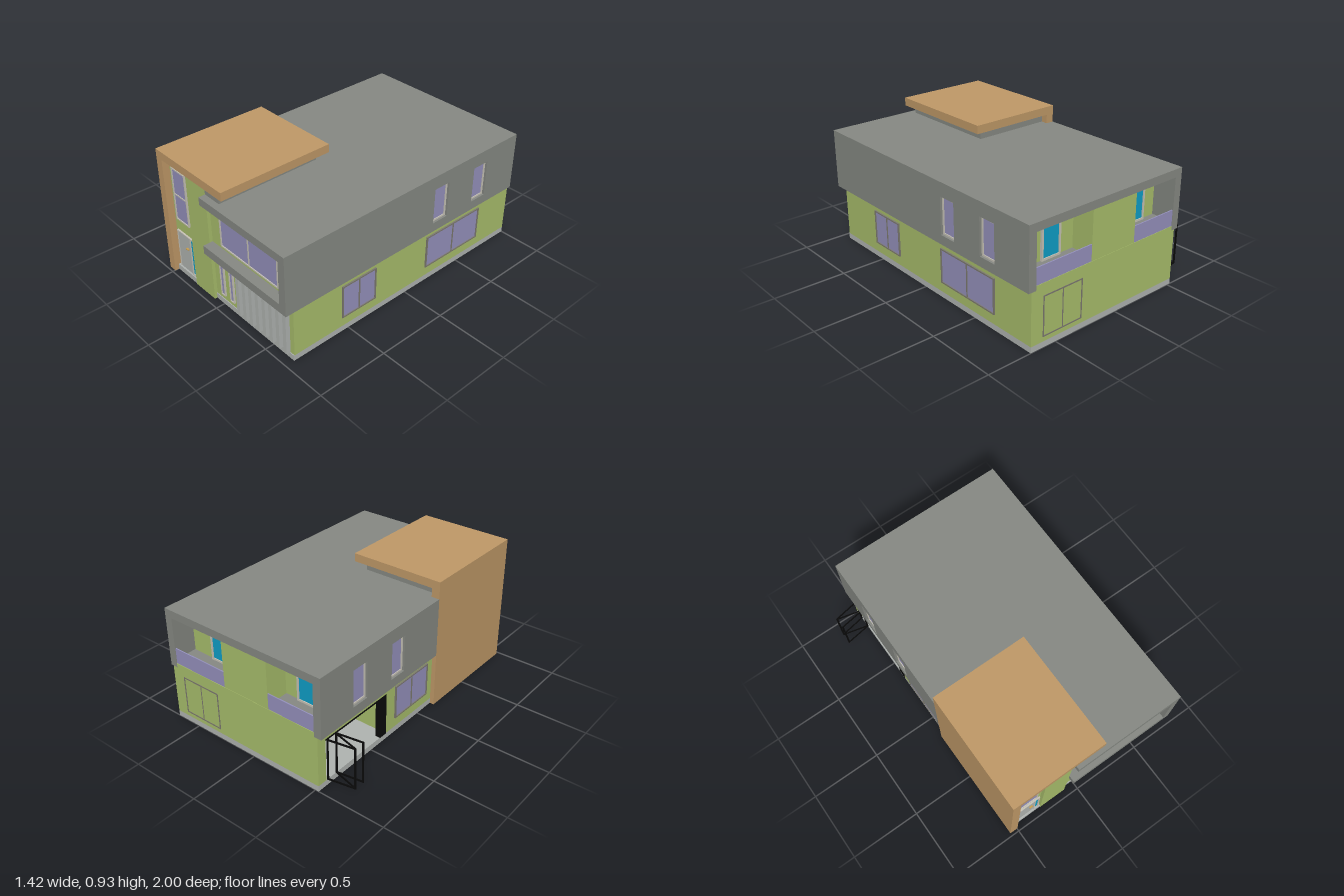
import * as THREE from 'three';

const mat = (name, color) => {
  const m = new THREE.MeshStandardMaterial({ color });
  m.name = name;
  return m;
};

export function createModel() {
  const green = mat('green render', 0xa9bf6c);
  const grey = mat('grey cladding', 0x878a84);
  const pale = mat('pale concrete', 0xb1b5b2);
  const wood = mat('tan timber', 0xc19a68);
  const glass = mat('lavender glass', 0x9692be);
  const cream = mat('cream frame', 0xc8c4b8);
  const darkFrame = mat('dark frame', 0x7d7a70);
  const cyan = mat('blue glass', 0x0fa0c8);
  const black = mat('black metal', 0x0a0a0a);
  const brass = mat('brass', 0xc9a050);

  const house = new THREE.Group();
  house.name = 'house';

  const add = (parent, name, geometry, material) => {
    const m = new THREE.Mesh(geometry, material);
    m.name = name;
    parent.add(m);
    return m;
  };
  // Box given by its limits on each axis
  const box = (name, material, x0, x1, y0, y1, z0, z1, parent = house) => {
    const m = add(parent, name, new THREE.BoxGeometry(x1 - x0, y1 - y0, z1 - z0), material);
    m.position.set((x0 + x1) / 2, (y0 + y1) / 2, (z0 + z1) / 2);
    return m;
  };
  const polygon = (points) => new THREE.Shape(points.map(([x, y]) => new THREE.Vector2(x, y)));
  const extrude = (shape, depth) => new THREE.ExtrudeGeometry(shape, { depth, bevelEnabled: false });

  // Rectangular frame made of four bars, centred on its group and facing +z
  const frame = (parent, material, w, h, t, depth) => {
    for (const s of [-1, 1]) {
      const a = s * (w - t) / 2, b = s * (h - t) / 2;
      box('frameUpright', material, a - t / 2, a + t / 2, -h / 2, h / 2, -depth / 2, depth / 2, parent);
      box('frameRail', material, -w / 2 + t, w / 2 - t, b - t / 2, b + t / 2, -depth / 2, depth / 2, parent);
    }
  };
  // Window with evenly split panes; angle turns it from +z
  const makeWindow = (name, x, y0, y1, z, w, angle, opts = {}) => {
    const { cols = 1, rows = 1, frameMat = cream, pane = glass, t = 0.009 } = opts;
    const g = new THREE.Group();
    const h = y1 - y0;
    g.name = name;
    g.position.set(x, (y0 + y1) / 2, z);
    g.rotation.y = angle;
    house.add(g);
    frame(g, frameMat, w, h, t, 0.02);
    box('pane', pane, -w / 2 + t, w / 2 - t, -h / 2 + t, h / 2 - t, -0.004, 0.004, g);
    for (let i = 1; i < cols; i++) {
      const c = -w / 2 + w * i / cols;
      box('mullion', frameMat, c - t / 2, c + t / 2, -h / 2 + t, h / 2 - t, -0.008, 0.008, g);
    }
    for (let i = 1; i < rows; i++) {
      const c = -h / 2 + h * i / rows;
      box('transom', frameMat, -w / 2 + t, w / 2 - t, c - t / 2, c + t / 2, -0.008, 0.008, g);
    }
    return g;
  };

  // Ground floor, hollowed on the left for the terrace room
  box('plinth', pale, -0.525, 0.69, 0, 0.04, -1, 0.935);
  box('groundFloorRight', green, -0.05, 0.69, 0.04, 0.39, -1, 0.93);
  box('groundFloorLeft', green, -0.525, -0.05, 0.04, 0.39, -0.35, 0.93);
  box('groundFloorCorner', green, -0.525, -0.05, 0.04, 0.39, -1, -0.93);
  box('terraceLintel', green, -0.525, -0.05, 0.34, 0.39, -0.93, -0.35);
  box('terraceRoomWall', pale, -0.055, -0.049, 0.04, 0.34, -0.93, -0.35);

  // Upper floor: side walls with window openings
  const sideWindows = [[-0.71, -0.58], [-0.34, -0.21]];
  const sideWall = (name, outerX, zFront) => {
    const shape = polygon([[-1, 0.39], [zFront, 0.39], [zFront, 0.75], [-1, 0.75]]);
    for (const [a, b] of sideWindows) {
      shape.holes.push(new THREE.Path([[a, 0.455], [a, 0.71], [b, 0.71], [b, 0.455]]
        .map(([x, y]) => new THREE.Vector2(x, y))));
    }
    const geometry = extrude(shape, 0.055);
    geometry.rotateY(-Math.PI / 2);
    add(house, name, geometry, grey).position.x = outerX;
  };
  sideWall('rightUpperWall', 0.71, 1);
  sideWall('leftUpperWall', -0.5, 0.15);
  for (const [a, b] of sideWindows) {
    makeWindow('rightUpperWindow', 0.685, 0.455, 0.71, (a + b) / 2, b - a, Math.PI / 2, { t: 0.012 });
    makeWindow('leftUpperWindow', -0.53, 0.455, 0.71, (a + b) / 2, b - a, -Math.PI / 2, { t: 0.012 });
  }

  // Roof outline drawn as x, -z
  const roof = extrude(polygon([
    [-0.555, 1], [-0.555, -0.15], [-0.497, -0.15], [-0.497, -0.9],
    [-0.08, -0.9], [-0.08, -1], [0.71, -1], [0.71, 1],
  ]), 0.055);
  roof.rotateX(-Math.PI / 2);
  add(house, 'mainRoof', roof, grey).position.y = 0.75;
  box('upperFloorSlab', grey, -0.5, 0.655, 0.39, 0.45, -0.98, 0.9);
  box('frontLedge', grey, -0.08, 0.655, 0.39, 0.45, 0.9, 1);
  box('upperRooms', green, -0.497, 0.652, 0.45, 0.75, -0.84, 0.93);

  // Rear balconies
  box('rearBand', green, -0.5, 0.655, 0.39, 0.42, -1, -0.98);
  box('rearCentreBlock', green, -0.145, 0.22, 0.42, 0.75, -0.998, -0.84);
  for (const [x0, x1, doorX] of [[0.22, 0.655, 0.405], [-0.5, -0.145, -0.32]]) {
    box('balconyGlass', glass, x0, x1, 0.42, 0.53, -0.997, -0.989);
    makeWindow('balconyDoor', doorX, 0.45, 0.69, -0.845, 0.15, Math.PI, { pane: cyan, t: 0.014 });
  }

  // Entrance tower
  box('towerWall', green, -0.497, -0.285, 0.39, 0.867, 0.88, 0.93);
  box('towerColumn', green, -0.285, -0.08, 0, 0.867, 0.88, 0.953);
  box('roofNeck', grey, -0.497, 0.06, 0.805, 0.867, 0.2, 0.88);
  box('roofNeckFront', grey, -0.08, 0.06, 0.805, 0.867, 0.88, 0.953);
  const canopy = extrude(polygon([
    [-0.555, 0], [-0.497, 0], [-0.497, 0.867], [0.125, 0.867], [0.125, 0.925], [-0.555, 0.925],
  ]), 0.83);
  add(house, 'timberWallAndCanopy', canopy, wood).position.z = 0.15;
  makeWindow('towerWindow', -0.395, 0.425, 0.815, 0.932, 0.145, 0, { rows: 2 });

  // Front door with sidelight
  box('doorStep', pale, -0.497, -0.285, 0, 0.04, 0.93, 0.95);
  box('frontDoor', pale, -0.472, -0.338, 0.03, 0.328, 0.925, 0.938);
  box('doorHead', cream, -0.478, -0.338, 0.328, 0.334, 0.925, 0.942);
  box('doorJamb', cream, -0.478, -0.472, 0.04, 0.328, 0.925, 0.942);
  box('doorHandle', brass, -0.38, -0.355, 0.23, 0.237, 0.938, 0.95);
  makeWindow('doorSidelight', -0.317, 0.04, 0.334, 0.932, 0.042, 0, { pane: cyan });

  // Front windows and slats
  makeWindow('frontUpperWindow', 0.3, 0.477, 0.71, 0.932, 0.55, 0, { cols: 2 });
  for (const x of [0.005, 0.099]) makeWindow('slimWindow', x, 0.077, 0.35, 0.932, 0.042, 0, { t: 0.007 });
  for (let i = 0; i < 8; i++) {
    const x = 0.189 + i * 0.0642;
    box('slat', pale, x - 0.015, x + 0.015, 0.04, 0.39, 0.928, 0.96);
  }

  // Ground floor side and rear windows
  const dark = { cols: 2, frameMat: darkFrame };
  makeWindow('rightSmallWindow', 0.69, 0.11, 0.35, 0.415, 0.28, Math.PI / 2, dark);
  makeWindow('rightLargeWindow', 0.69, 0.11, 0.35, -0.435, 0.51, Math.PI / 2, dark);
  makeWindow('leftWindow', -0.525, 0.11, 0.35, -0.085, 0.35, -Math.PI / 2, dark);
  makeWindow('rearWindow', 0.445, 0.07, 0.34, -1 + 0.008, 0.31, Math.PI, dark);

  // Folding terrace doors, pushed open in a zigzag
  const folds = [[-0.525, -0.92], [-0.712, -0.885], [-0.525, -0.84], [-0.712, -0.81]];
  for (let i = 0; i < 3; i++) {
    const [xa, za] = folds[i], [xb, zb] = folds[i + 1];
    const g = new THREE.Group();
    g.name = 'foldingDoor';
    g.position.set((xa + xb) / 2, 0.19, (za + zb) / 2);
    g.rotation.y = -Math.atan2(zb - za, xb - xa);
    frame(g, black, Math.hypot(xb - xa, zb - za), 0.3, 0.011, 0.006);
    house.add(g);
  }
  box('terraceDoorTrack', black, -0.528, -0.51, 0.332, 0.342, -0.93, -0.35);
  box('foldedDoorStack', black, -0.528, -0.49, 0.04, 0.332, -0.41, -0.35);

  return house;
}
